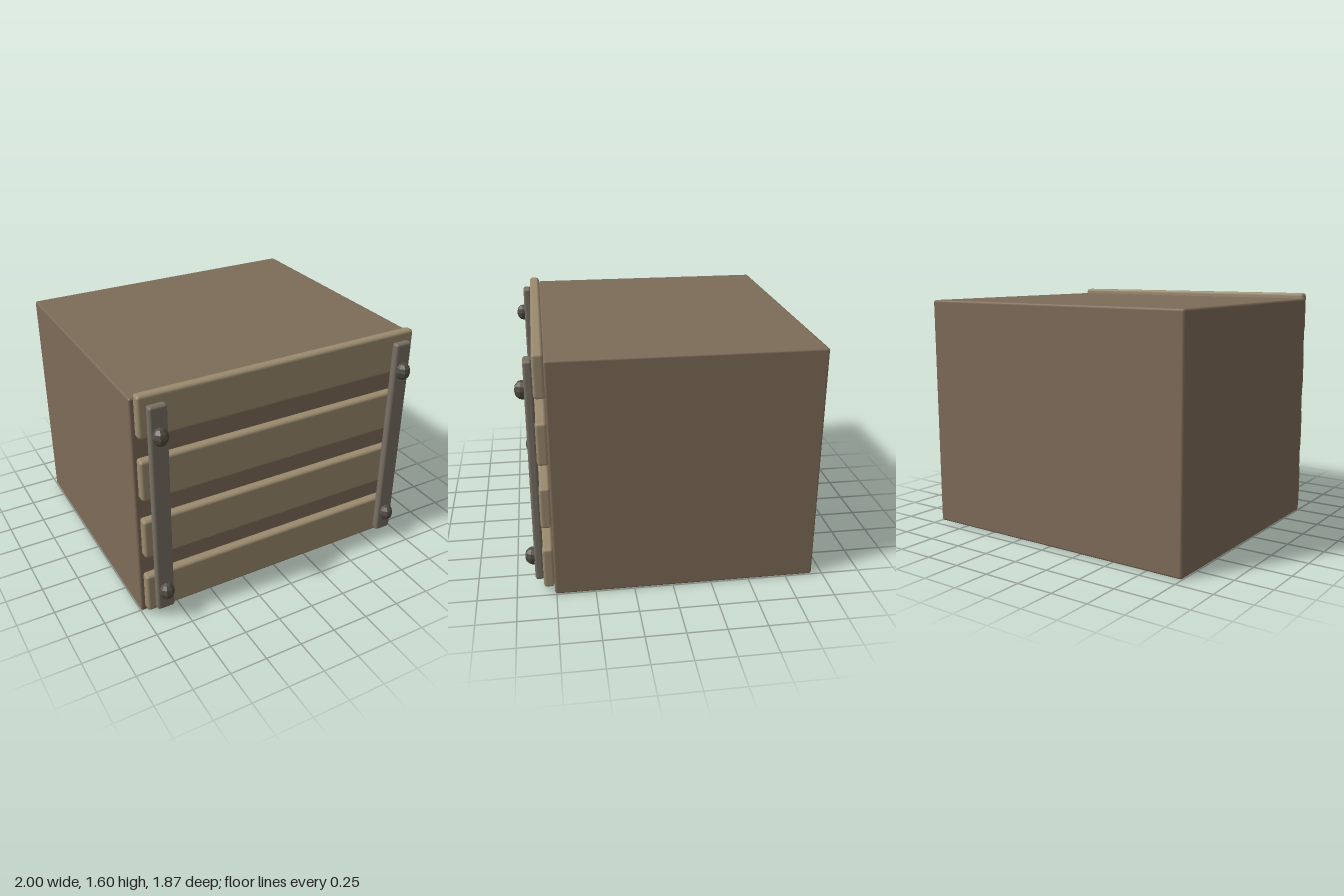
import * as THREE from 'three';
import { RoundedBoxGeometry } from 'three/addons/geometries/RoundedBoxGeometry.js';

const material = (color) => new THREE.MeshStandardMaterial({ color });

export function createModel() {
  const model = new THREE.Group();
  model.name = 'crate';
  const bodyMat = material(0x7d6b58);
  const plankMat = material(0x9a8a6e);
  const strapMat = material(0x777064);
  const studMat = material(0x504c42);
  studMat.flatShading = true;

  // Box with softened edges
  const block = (name, size, pos, bevel, mat) => {
    const mesh = new THREE.Mesh(new RoundedBoxGeometry(...size, 1, bevel), mat);
    mesh.name = name;
    mesh.position.set(...pos);
    model.add(mesh);
  };

  // Solid body
  block('body', [2, 1.565, 1.69], [0, 0.7825, -0.085], 0.015, bodyMat);

  // Horizontal planks across the front
  for (let i = 0; i < 4; i++) {
    block('plank', [1.956, 0.28, 0.07], [0, 0.18 + i * 0.427, 0.793], 0.02, plankMat);
  }

  // Vertical straps, each with two faceted studs
  const studGeo = new THREE.SphereGeometry(1, 8, 6);
  studGeo.rotateY(Math.PI / 8);
  studGeo.scale(0.052, 0.06, 0.057);
  for (const side of [-1, 1]) {
    block('strap', [0.12, 1.475, 0.055], [side * 0.87, 0.8075, 0.852], 0.018, strapMat);
    for (const y of [0.22, 1.352]) {
      const stud = new THREE.Mesh(studGeo, studMat);
      stud.name = 'stud';
      stud.position.set(side * 0.87, y, 0.884);
      model.add(stud);
    }
  }
  return model;
}
